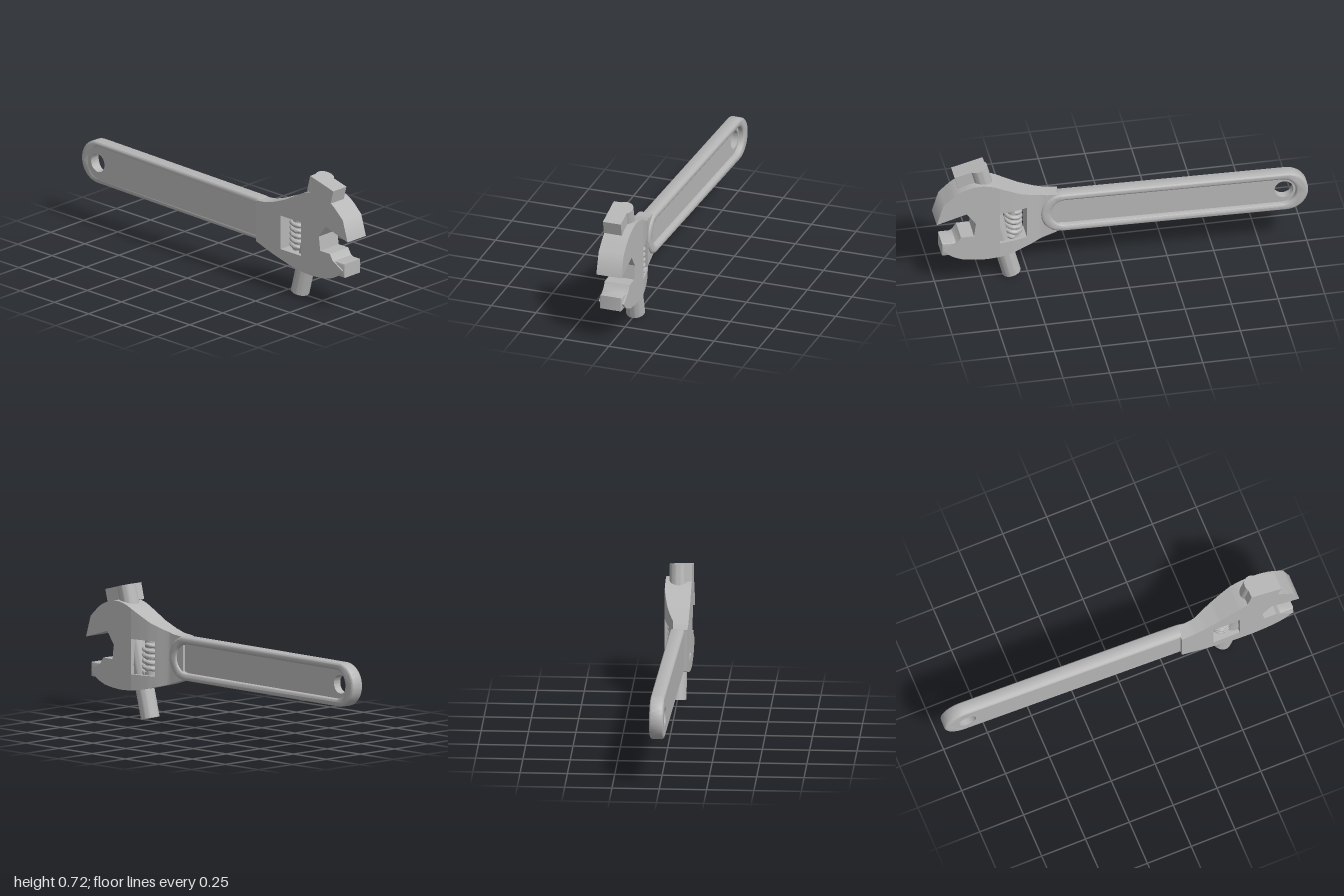
import * as THREE from 'three';
import { toCreasedNormals } from 'three/addons/utils/BufferGeometryUtils.js';

const steel = new THREE.MeshStandardMaterial({ color: 0xb6b6b6 });
steel.name = 'steel grey';

function part(name, geometry, crease = 0.6) {
  const mesh = new THREE.Mesh(toCreasedNormals(geometry, crease), steel);
  mesh.name = name;
  return mesh;
}

// Side profile drawn as (-z, y), extruded along x from x0 to x1
function sideExtrude(shape, x0, x1, bevel = 0) {
  const g = new THREE.ExtrudeGeometry(shape, {
    depth: x1 - x0 - 2 * bevel, bevelEnabled: bevel > 0, bevelThickness: bevel,
    bevelSize: bevel, bevelOffset: -bevel, bevelSegments: 4, curveSegments: 24,
  });
  g.translate(0, 0, x0 + bevel);
  g.rotateY(Math.PI / 2);
  return g;
}

// Slot outline with round ends, between two z values
function slot(zBack, zFront, y, r, Type = THREE.Shape) {
  const s = new Type();
  s.absarc(-zFront + r, y, r, Math.PI / 2, Math.PI * 1.5, false);
  s.absarc(-zBack - r, y, r, -Math.PI / 2, Math.PI / 2, false);
  s.closePath();
  return s;
}

// Linear lookup in a list of [position, value]
function lookup(list, t) {
  for (let i = 1; i < list.length; i++) {
    const [a, va] = list[i - 1], [b, vb] = list[i];
    if (t <= b || i === list.length - 1) return va + (vb - va) * THREE.MathUtils.clamp((t - a) / (b - a), 0, 1);
  }
}

const BACK = -0.07, FRONT = 0.07;
const neckTop = [[0.33, 0.475], [0.4, 0.482], [0.46, 0.5], [0.54, 0.532], [0.66, 0.597]];
const neckBottom = [[0.33, 0.245], [0.46, 0.203], [0.6, 0.168], [0.66, 0.16]];
const neckFace = [[0.33, 0.008], [0.43, 0.012], [0.46, 0.022], [0.5, 0.036], [0.55, 0.05], [0.6, 0.06], [0.66, 0.07]];

// Box stretched between bottom and top functions of z, following the neck taper
function neckPiece(name, z0, z1, bottom, top) {
  const g = new THREE.BoxGeometry(1, 1, 1, 1, 1, 14);
  const p = g.attributes.position;
  for (let i = 0; i < p.count; i++) {
    const z = z0 + (p.getZ(i) + 0.5) * (z1 - z0);
    p.setXYZ(i, p.getX(i) < 0 ? BACK : lookup(neckFace, z), p.getY(i) < 0 ? bottom(z) : top(z), z);
  }
  return part(name, g);
}

export function createModel() {
  const model = new THREE.Group();
  model.name = 'adjustableWrench';

  // Handle: rim, recessed floor and hanging hole, tilted slightly
  const handle = new THREE.Group();
  handle.name = 'handle';
  const rimShape = slot(-1, 0.43, 0.362, 0.117);
  rimShape.holes.push(slot(-0.935, 0.375, 0.362, 0.078, THREE.Path));
  handle.add(part('handleRim', sideExtrude(rimShape, -0.0375, 0.0375, 0.014)));
  const floorShape = slot(-0.949, 0.389, 0.362, 0.092);
  const hole = new THREE.Path();
  hole.absarc(0.873, 0.362, 0.05, 0, Math.PI * 2, true);
  floorShape.holes.push(hole);
  handle.add(part('handleFloor', sideExtrude(floorShape, -0.0375, 0.008)));
  handle.rotation.y = -0.025;
  handle.position.x = -0.007;
  model.add(handle);

  // Head: jaw section in front of the window
  const jaw = new THREE.Shape();
  jaw.moveTo(-0.66, 0.16);
  jaw.lineTo(-0.66, 0.597);
  jaw.splineThru([[0.7, 0.614], [0.75, 0.625], [0.8, 0.624], [0.85, 0.61], [0.9, 0.583], [0.965, 0.525]]
    .map(([z, y]) => new THREE.Vector2(-z, y)));
  for (const [z, y] of [[1, 0.41], [0.84, 0.458], [0.79, 0.39], [0.8, 0.312], [0.87, 0.312], [0.89, 0.28], [0.962, 0.238]])
    jaw.lineTo(-z, y);
  jaw.splineThru([[0.925, 0.202], [0.88, 0.178], [0.83, 0.165], [0.74, 0.156], [0.66, 0.16]]
    .map(([z, y]) => new THREE.Vector2(-z, y)));
  model.add(part('headJaw', sideExtrude(jaw, BACK, FRONT)));

  // Head: tapering neck around the window
  const top = z => lookup(neckTop, z), bottom = z => lookup(neckBottom, z);
  model.add(neckPiece('neck', 0.33, 0.51, bottom, top));
  model.add(neckPiece('windowTop', 0.51, 0.66, () => 0.435, top));
  model.add(neckPiece('windowBottom', 0.51, 0.66, bottom, () => 0.247));

  // Lower jaw tip with softened edges
  const tip = new THREE.Shape();
  tip.moveTo(-0.97, 0.2);
  tip.lineTo(-0.97, 0.277);
  tip.lineTo(-0.85, 0.277);
  tip.lineTo(-0.85, 0.2);
  tip.closePath();
  model.add(part('lowerJawTip', sideExtrude(tip, -0.062, 0.06, 0.005)));

  // Tilted slide rod with the stop block at its upper end
  const slide = new THREE.Group();
  slide.name = 'slide';
  const rod = part('slideRod', new THREE.CylinderGeometry(0.05, 0.05, 0.715, 40));
  rod.position.y = 0.3575;
  const block = part('stopBlock', new THREE.BoxGeometry(0.1, 0.09, 0.175));
  block.position.set(-0.021, 0.67, 0.047);
  slide.add(rod, block);
  slide.position.set(0, 0.013, 0.586);
  slide.rotation.x = 0.255;
  model.add(slide);

  // Adjusting worm: core and spiral thread
  const worm = new THREE.Group();
  worm.name = 'worm';
  const core = part('wormCore', new THREE.CylinderGeometry(0.034, 0.034, 0.2, 32));
  const turns = 5, points = [];
  for (let i = 0; i <= turns * 16; i++) {
    const a = (i / 16) * Math.PI * 2;
    points.push(new THREE.Vector3(Math.cos(a) * 0.038, -0.085 + 0.155 * i / (turns * 16), Math.sin(a) * 0.038));
  }
  const thread = part('wormThread',
    new THREE.TubeGeometry(new THREE.CatmullRomCurve3(points), turns * 32, 0.0125, 10), 1.2);
  worm.add(core, thread);
  worm.position.set(0, 0.341, 0.578);
  model.add(worm);

  return model;
}
